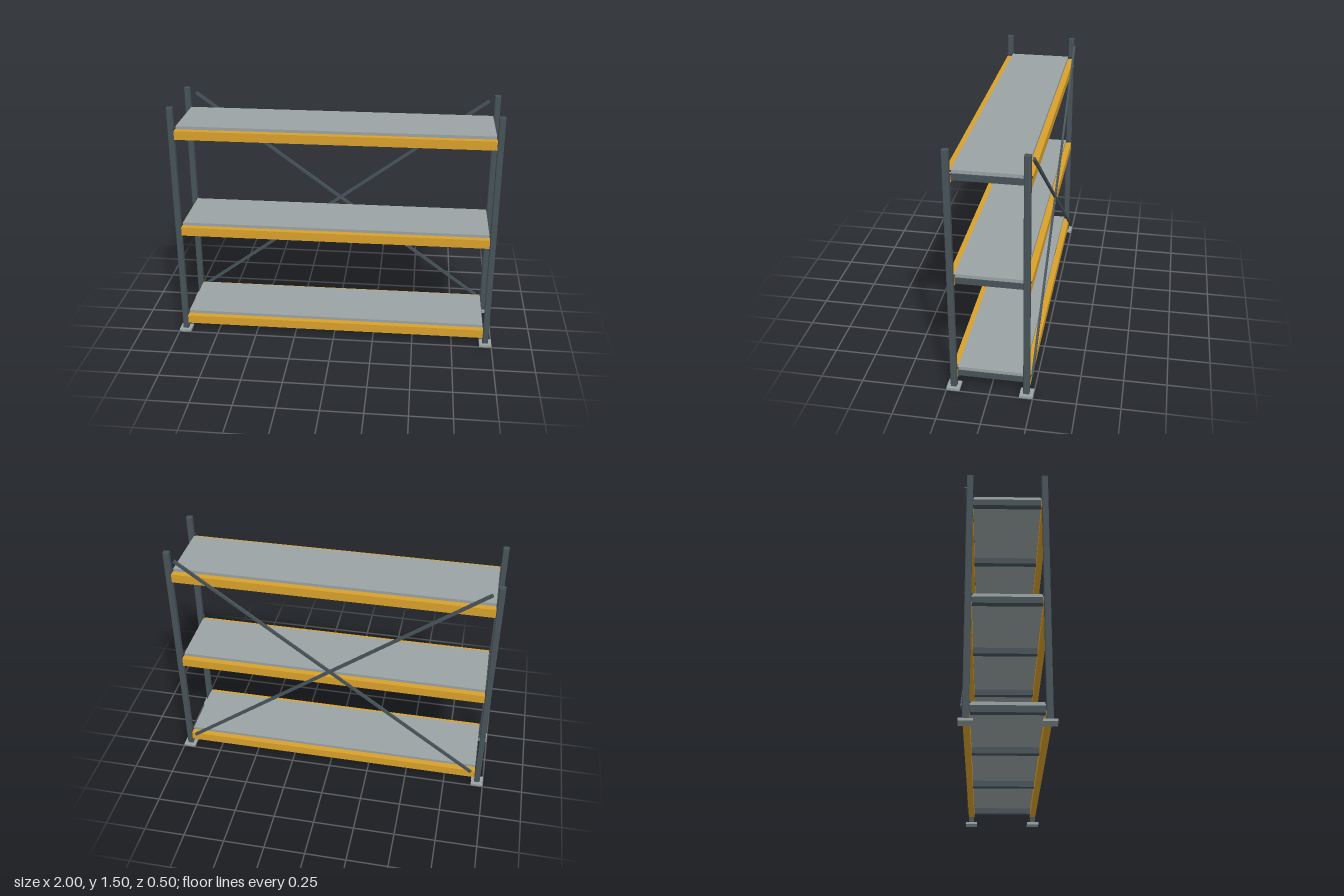
import * as THREE from 'three';

const mat = (color) => new THREE.MeshStandardMaterial({ color });
const steel = mat(0x475359), darkSteel = mat(0x3c464b), gold = mat(0xd9a12b), sheet = mat(0x9aa3a5);

const X = 0.9625, Z = 0.211;      // upright centres
const HEIGHT = 1.5, W = 0.036;    // upright height and width

export function createModel() {
  const model = new THREE.Group();

  const add = (name, geometry, material, x, y, z, parent = model) => {
    const mesh = new THREE.Mesh(geometry, material);
    mesh.name = name;
    mesh.position.set(x, y, z);
    parent.add(mesh);
    return mesh;
  };

  // Upright section: square with small chamfered corners
  const h = W / 2, c = 0.004;
  const section = new THREE.Shape([
    [-h + c, -h], [h - c, -h], [h, -h + c], [h, h - c],
    [h - c, h], [-h + c, h], [-h, h - c], [-h, -h + c],
  ].map(([x, y]) => new THREE.Vector2(x, y)));
  const uprightGeo = new THREE.ExtrudeGeometry(section, { depth: HEIGHT - 0.01, bevelEnabled: false });
  uprightGeo.rotateX(-Math.PI / 2);
  const footGeo = new THREE.BoxGeometry(0.075, 0.015, 0.077);

  // Four uprights on foot plates
  for (const sx of [-1, 1]) {
    for (const sz of [-1, 1]) {
      add('upright', uprightGeo, steel, sx * X, 0.01, sz * Z);
      add('footPlate', footGeo, sheet, sx * X, 0.0075, sz * 0.2115);
    }
  }

  const beamGeo = new THREE.BoxGeometry(1.886, 0.054, 0.037);
  const deckGeo = new THREE.BoxGeometry(1.88, 0.02, 0.384);
  const supportGeo = new THREE.BoxGeometry(0.038, 0.038, 0.384);
  const pinGeo = new THREE.CylinderGeometry(0.006, 0.006, 0.046, 8);
  pinGeo.rotateX(Math.PI / 2);

  // Three shelf levels, measured from the underside of the beams
  for (const y of [0.055, 0.681, 1.307]) {
    const shelf = new THREE.Group();
    shelf.name = 'shelf';
    shelf.position.y = y;
    model.add(shelf);

    add('deck', deckGeo, sheet, 0, 0.062, 0, shelf);
    for (const x of [-0.925, -0.31, 0.31, 0.925]) {
      add('deckSupport', supportGeo, steel, x, 0.033, 0, shelf);
    }
    for (const sz of [-1, 1]) {
      add('beam', beamGeo, gold, 0, 0.027, sz * Z, shelf);
      for (const sx of [-1, 1]) add('lockingPin', pinGeo, darkSteel, sx * 0.947, 0.067, sz * Z, shelf);
    }
  }

  // Crossed diagonal braces on the back
  const rise = 1.355, run = 1.83;
  const braceGeo = new THREE.BoxGeometry(Math.hypot(run, rise), 0.018, 0.013);
  for (const s of [-1, 1]) {
    const brace = add('backBrace', braceGeo, steel, 0, 0.7825, -0.2355 + s * 0.001);
    brace.rotation.z = s * Math.atan2(rise, run);
  }

  return model;
}
